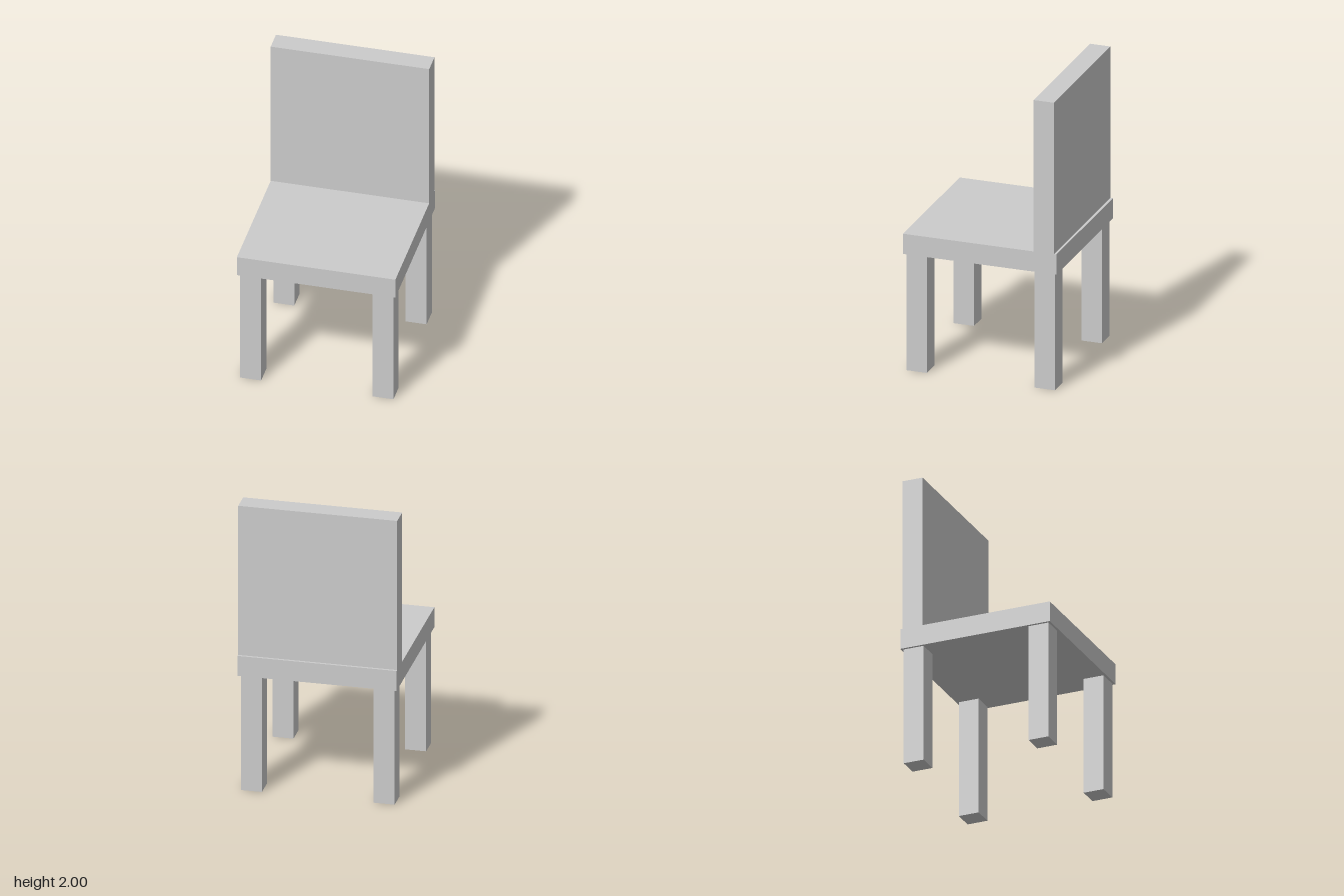
import * as THREE from 'three';

const material = new THREE.MeshStandardMaterial({ color: 0xcccccc });

// Box standing on height y, centred on x and z
function block(name, width, height, depth, x, y, z) {
  const mesh = new THREE.Mesh(new THREE.BoxGeometry(width, height, depth), material);
  mesh.position.set(x, y + height / 2, z);
  mesh.name = name;
  return mesh;
}

export function createModel() {
  const chair = new THREE.Group();
  chair.name = 'chair';

  const width = 1.054;      // seat and backrest width
  const thickness = 0.14;   // shared by slabs and legs
  const legHeight = 0.81;
  const inset = 0.44;       // leg and backrest centre line
  const seatTop = legHeight + thickness;

  // Seat slab and backrest, which stands slightly in from the rear edge
  chair.add(block('seat', width, thickness, width, 0, legHeight, 0));
  chair.add(block('backrest', width, 2 - seatTop, thickness, 0, seatTop, -inset));

  // Four square legs
  for (const [side, x] of [['Left', inset], ['Right', -inset]]) {
    for (const [end, z] of [['front', inset], ['back', -inset]]) {
      chair.add(block(`${end}${side}Leg`, thickness, legHeight, thickness, x, 0, z));
    }
  }
  return chair;
}
